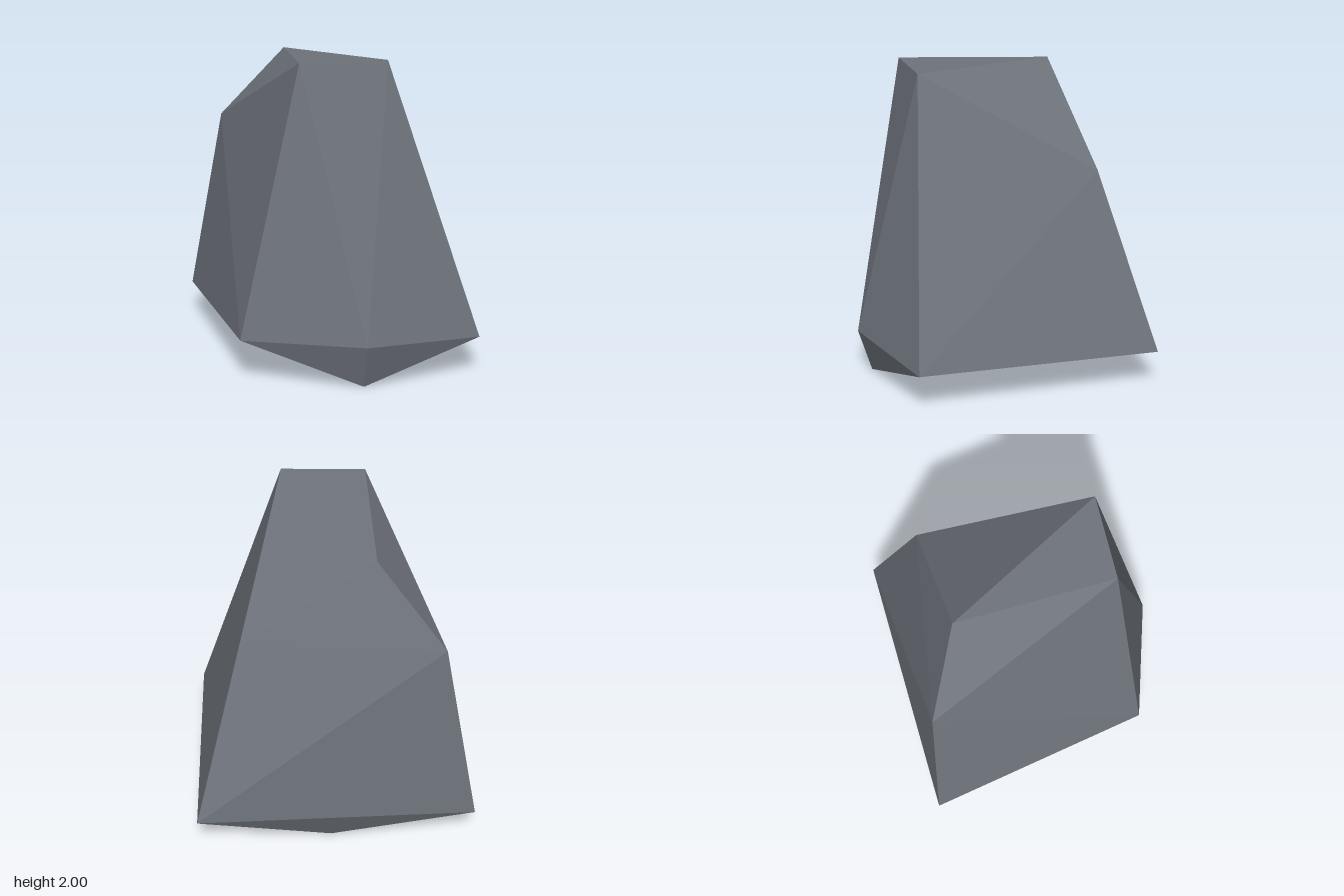
import * as THREE from 'three';
import { ConvexGeometry } from 'three/addons/geometries/ConvexGeometry.js';

// A faceted boulder: the convex hull of a few corner points.
export function createModel() {
  const group = new THREE.Group();
  group.name = 'rock';
  const stone = new THREE.MeshStandardMaterial({ color: 0x6f747c });
  stone.name = 'slate grey stone';

  const corners = [
    // crest
    [-0.32, 1.99, 0.48], [0.22, 2.0, 0.52], [-0.27, 1.93, -0.53],
    // rear shoulders
    [-0.67, 1.44, -0.8], [0.57, 1.38, -0.54],
    // widest ring
    [-0.89, 0.21, -0.89], [-0.72, 0.28, 0.6], [0.03, 0.285, 0.89],
    [0.785, 0.25, 0.71], [0.89, 0.235, -0.845],
    // keel the rock stands on
    [0.025, 0, 0.8], [0.025, 0, -0.77],
  ].map((p) => new THREE.Vector3(...p));

  // hull faces carry their own flat normals
  const boulder = new THREE.Mesh(new ConvexGeometry(corners), stone);
  boulder.name = 'boulder';
  group.add(boulder);
  return group;
}
